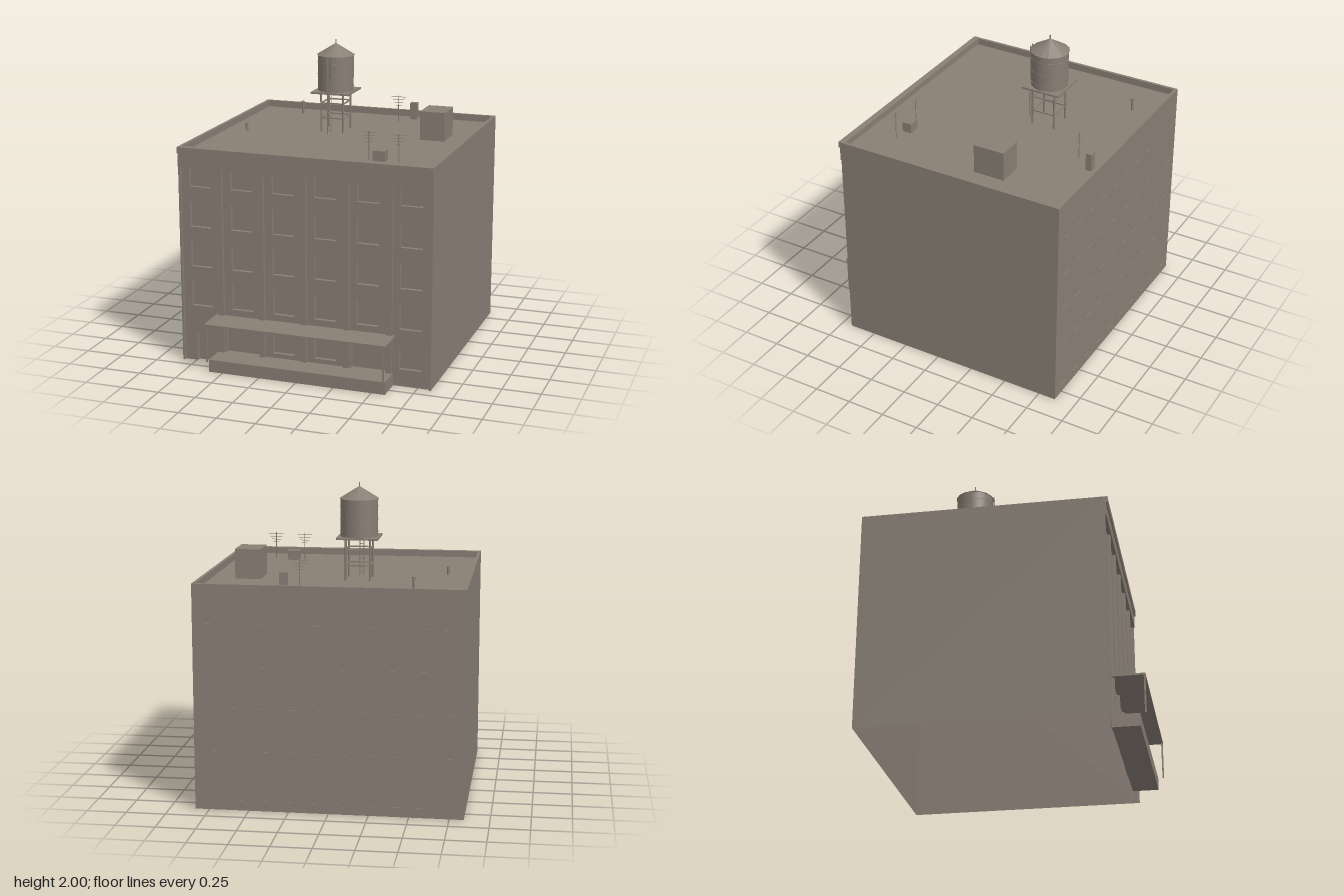
import * as THREE from 'three';

const FRONT = 0.68, BACK = -0.865, HALF = 0.84, TOP = 1.43, ROOF = 1.385;
const BAY_Z = 0.66, PANE_Z = 0.635, BAY_TOP = 1.3;

export function createModel() {
  const model = new THREE.Group();
  model.name = 'building';
  const stone = new THREE.MeshStandardMaterial({ color: 0x887e74, side: THREE.DoubleSide, flatShading: true });
  stone.name = 'stone';
  const smooth = new THREE.MeshStandardMaterial({ color: 0x887e74, side: THREE.DoubleSide });
  smooth.name = 'smooth stone';

  const add = (name, geo, x = 0, y = 0, z = 0, parent = model, mat = stone) => {
    const mesh = new THREE.Mesh(geo, mat);
    mesh.name = name;
    mesh.position.set(x, y, z);
    parent.add(mesh);
    return mesh;
  };
  const group = (name) => {
    const g = new THREE.Group();
    g.name = name;
    model.add(g);
    return g;
  };
  // Box given by its lower and upper limits
  const box = (name, x0, x1, y0, y1, z0, z1, parent) =>
    add(name, new THREE.BoxGeometry(x1 - x0, y1 - y0, z1 - z0),
      (x0 + x1) / 2, (y0 + y1) / 2, (z0 + z1) / 2, parent);
  const rod = (name, r, y0, y1, x, z, parent, sides = 8) =>
    add(name, new THREE.CylinderGeometry(r, r, y1 - y0, sides), x, (y0 + y1) / 2, z, parent, smooth);

  // Upright sheet with notches open at the bottom and closed holes, as [x0, x1, y0, y1]
  const sheet = (name, [x0, x1, y0, y1], z, notches, holes, parent) => {
    const pts = [[x0, y0]];
    for (const [a, b, , t] of notches) pts.push([a, y0], [a, t], [b, t], [b, y0]);
    pts.push([x1, y0], [x1, y1], [x0, y1]);
    const shape = new THREE.Shape(pts.map((p) => new THREE.Vector2(...p)));
    for (const [a, b, c, d] of holes) {
      shape.holes.push(new THREE.Path([[a, c], [a, d], [b, d], [b, c]].map((p) => new THREE.Vector2(...p))));
    }
    add(name, new THREE.ShapeGeometry(shape), 0, 0, z, parent);
  };
  // Side faces of an opening between two depths
  const reveal = (name, [x0, x1, y0, y1], zf, zb, parent) => {
    const d = zf - zb, zm = (zf + zb) / 2;
    for (const [x, s] of [[x0, 1], [x1, -1]])
      add(name, new THREE.PlaneGeometry(d, y1 - y0), x, (y0 + y1) / 2, zm, parent).rotation.y = s * Math.PI / 2;
    for (const [y, s] of [[y0, -1], [y1, 1]]) {
      if (y > 0) add(name, new THREE.PlaneGeometry(x1 - x0, d), (x0 + x1) / 2, y, zm, parent).rotation.x = s * Math.PI / 2;
    }
  };

  // Outer shell, open underneath
  const shell = group('shell');
  const depth = FRONT - BACK, midZ = (FRONT + BACK) / 2;
  for (const s of [-1, 1])
    add('sideWall', new THREE.PlaneGeometry(depth, TOP), s * HALF, TOP / 2, midZ, shell).rotation.y = s * Math.PI / 2;
  add('backWall', new THREE.PlaneGeometry(2 * HALF, TOP), 0, TOP / 2, BACK, shell).rotation.y = Math.PI;
  add('roofDeck', new THREE.PlaneGeometry(2 * HALF, depth), 0, ROOF, midZ, shell).rotation.x = -Math.PI / 2;

  // Parapet and cornice
  for (const s of [-1, 1])
    box('parapetSide', s > 0 ? 0.82 : -HALF, s > 0 ? HALF : -0.82, ROOF, TOP, BACK, FRONT, shell);
  box('parapetBack', -0.82, 0.82, ROOF, TOP, BACK, -0.845, shell);
  box('cornice', -HALF, HALF, 1.39, TOP, 0.655, 0.696, shell);
  box('frieze', -HALF, HALF, BAY_TOP, 1.39, 0.67, 0.686, shell);

  // Front facade: pilasters, sunken bays and windows
  const facade = group('facade');
  const bays = [[-0.827, -0.583], [-0.545, -0.303], [-0.265, -0.018],
    [0.018, 0.265], [0.303, 0.545], [0.583, 0.827]].map(([a, b]) => [a, b, 0, BAY_TOP]);
  sheet('pilasters', [-HALF, HALF, 0, TOP], FRONT, bays, [], facade);
  bays.forEach((bay, i) => {
    const cx = -0.7 + i * 0.28;
    const openings = [];
    for (let f = 1; f < 5; f++) {
      const y = 0.11 + f * 0.265;
      openings.push([cx - 0.072, cx + 0.072, y, Math.min(y + 0.165, 1.297)]);
    }
    if (i === 1 || i === 4) openings.push([bay[0] + 0.009, bay[1] - 0.007, 0.082, 0.3]);
    else if (i > 0) openings.push([cx - 0.072, cx + 0.072, 0.112, 0.26]);
    const door = i === 0 ? [[-0.742, -0.662, 0, 0.185]] : [];
    sheet('bayWall', bay, BAY_Z, door, openings, facade);
    reveal('bayReveal', bay, FRONT, BAY_Z, facade);
    for (const o of [...openings, ...door]) {
      reveal('windowReveal', o, BAY_Z, PANE_Z, facade);
      add('windowPane', new THREE.PlaneGeometry(o[1] - o[0], o[3] - o[2]),
        (o[0] + o[1]) / 2, (o[2] + o[3]) / 2, PANE_Z, facade);
    }
    // Tapered trim under the cornice
    const [a, b] = bay;
    const trim = new THREE.Shape([[a, 1.395], [a + 0.02, 1.378], [b - 0.02, 1.378], [b, 1.395]]
      .map((p) => new THREE.Vector2(...p)));
    add('corniceTrim', new THREE.ExtrudeGeometry(trim, { depth: 0.012, bevelEnabled: false }), 0, 0, 0.68, facade);
  });

  // Rear sills
  const sills = group('rearSills');
  for (const y of [0.06, 0.38, 0.65, 0.915, 1.18])
    for (let i = 0; i < 10; i++) {
      const x = -0.74 + i * 0.164;
      box('rearSill', x - 0.035, x + 0.035, y - 0.004, y + 0.004, -0.87, BACK, sills);
    }

  // Loading platform and canopy
  const dock = group('loadingDock');
  box('platform', -0.59, 0.59, 0, 0.082, FRONT - 0.02, 0.83, dock);
  box('canopy', -0.602, 0.602, 0.322, 0.334, FRONT - 0.015, 0.87, dock);
  for (const s of [-1, 1]) box('canopyPost', s * 0.587 - 0.005, s * 0.587 + 0.005, 0.082, 0.322, 0.859, 0.869, dock);

  // Water tower
  const tower = group('waterTower');
  const tx = -0.118, tz = -0.284, leg = 0.077;
  for (const sx of [-1, 1])
    for (const sz of [-1, 1]) rod('towerLeg', 0.007, ROOF, 1.65, tx + sx * leg, tz + sz * leg, tower);
  for (const y of [1.48, 1.58])
    for (const s of [-1, 1]) {
      box('braceAcross', tx - leg, tx + leg, y - 0.004, y + 0.004, tz + s * leg - 0.004, tz + s * leg + 0.004, tower);
      box('braceDeep', tx + s * leg - 0.004, tx + s * leg + 0.004, y - 0.004, y + 0.004, tz - leg, tz + leg, tower);
    }
  box('towerDeck', tx - 0.132, tx + 0.132, 1.648, 1.66, tz - 0.132, tz + 0.132, tower);
  rod('tank', 0.119, 1.66, 1.9, tx, tz, tower, 32);
  for (const y of [1.69, 1.77, 1.85]) rod('tankHoop', 0.1215, y - 0.003, y + 0.003, tx, tz, tower, 32);
  add('tankRoof', new THREE.ConeGeometry(0.126, 0.078, 16), tx, 1.937, tz, tower);
  rod('finial', 0.004, 1.965, 2, tx, tz, tower);
  for (const s of [-1, 1]) rod('ladderRail', 0.003, ROOF, 1.9, tx + s * 0.013, -0.152, tower, 6);
  for (let y = 1.41; y < 1.9; y += 0.03)
    box('ladderRung', tx - 0.013, tx + 0.013, y - 0.0015, y + 0.0015, -0.1535, -0.1505, tower);

  // Aerials
  for (const [x, z] of [[0.204, -0.668], [0.35, 0.432], [0.55, 0.453]]) {
    const aerial = group('aerial');
    rod('mast', 0.003, ROOF, 1.567, x, z, aerial, 6);
    [0.05, 0.04, 0.03, 0.02].forEach((w, i) => {
      const y = 1.558 - i * 0.02;
      box('aerialBar', x - w, x + w, y - 0.0015, y + 0.0015, z - 0.0015, z + 0.0015, aerial);
    });
  }

  // Rooftop equipment
  const gear = group('rooftopEquipment');
  box('stairHouse', 0.498, 0.664, ROOF, 1.575, -0.392, -0.184, gear);
  box('chimney', 0.258, 0.306, ROOF, 1.5, -0.805, -0.765, gear);
  box('airUnit', 0.382, 0.462, ROOF, 1.45, 0.4, 0.462, gear);
  rod('ventPipe', 0.008, ROOF, 1.46, -0.505, -0.693, gear, 12);
  rod('ventCap', 0.013, 1.46, 1.474, -0.505, -0.693, gear, 12);
  rod('shortVent', 0.01, ROOF, 1.44, -0.67, -0.06, gear, 12);

  return model;
}
